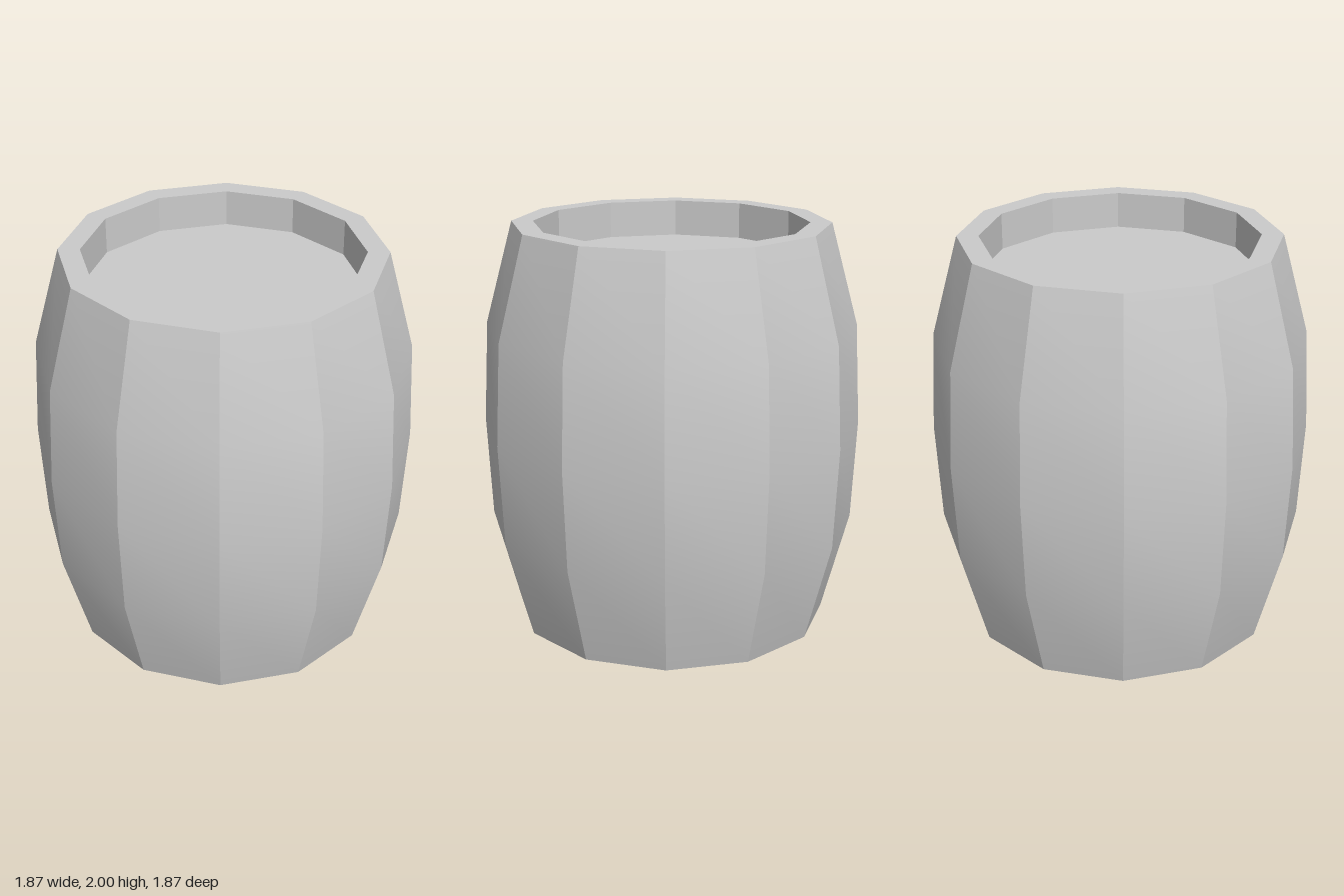
import * as THREE from 'three';
import { toCreasedNormals } from 'three/addons/utils/BufferGeometryUtils.js';

const SIDES = 12;
const END_RADIUS = 0.775;
const INNER_RADIUS = 0.67;
const HEIGHT = 2;
const LID_Y = 1.82;

export function createModel() {
  const barrel = new THREE.Group();
  barrel.name = 'barrel';
  const material = new THREE.MeshStandardMaterial({ color: 0xcccccc });

  const add = (name, geometry) => {
    const mesh = new THREE.Mesh(geometry, material);
    mesh.name = name;
    barrel.add(mesh);
    return mesh;
  };

  // Twelve-sided ring: hard edges between staves, smooth along their length
  const ring = (name, profile) => {
    const points = profile.map(([r, y]) => new THREE.Vector2(r, y));
    add(name, toCreasedNormals(new THREE.LatheGeometry(points, SIDES), Math.PI / 9));
  };

  // Flat end disc, facing up or down
  const disc = (name, radius, y, facing) => {
    const geometry = new THREE.CircleGeometry(radius, SIDES);
    geometry.rotateX(-facing * Math.PI / 2);
    add(name, geometry).position.y = y;
  };

  // Bulging body
  ring('staves', [[END_RADIUS, 0], [0.91, 0.5], [0.935, 1], [0.91, 1.5], [END_RADIUS, HEIGHT]]);

  // Flat top rim and the recess inside it
  ring('rim', [[END_RADIUS, HEIGHT], [INNER_RADIUS, HEIGHT]]);
  ring('recessWall', [[INNER_RADIUS, HEIGHT], [INNER_RADIUS, LID_Y]]);

  // Sunken lid and flat base
  disc('lid', INNER_RADIUS, LID_Y, 1);
  disc('base', END_RADIUS, 0, -1);

  return barrel;
}
